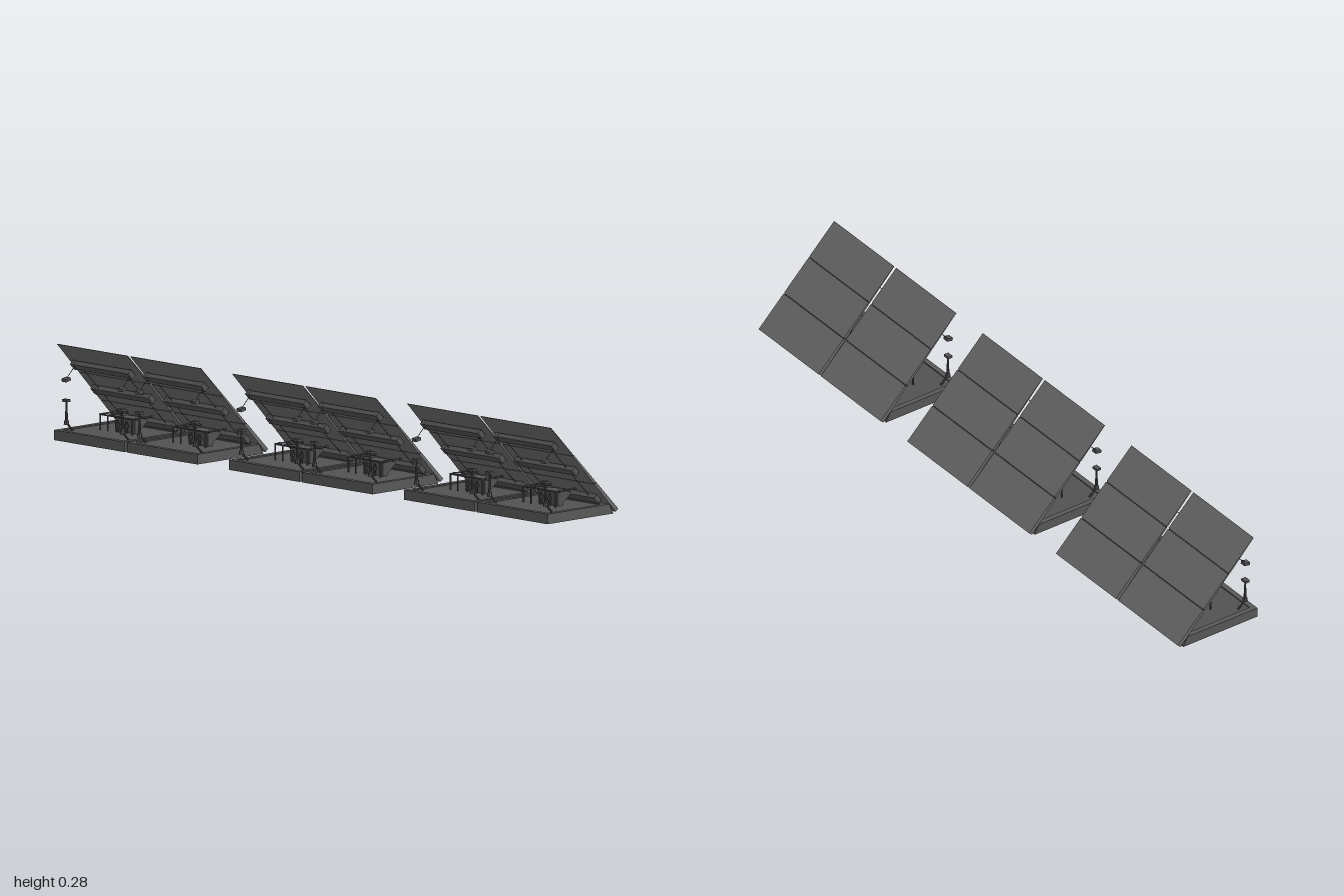
import * as THREE from 'three';

const paint = (color) => new THREE.MeshStandardMaterial({ color, flatShading: true, side: THREE.DoubleSide });
const panelMat = paint(0x6b6b6b);
const trayMat = paint(0x585858);
const frameMat = paint(0x525252);
const seamMat = paint(0x2c2c2c);
const linerMat = paint(0xffffff);
const W = 0.286; // width of one unit

function add(parent, name, geo, mat, x = 0, y = 0, z = 0) {
  const m = new THREE.Mesh(geo, mat);
  m.name = name;
  m.position.set(x, y, z);
  parent.add(m);
  return m;
}

function group(parent, name, x = 0) {
  const g = new THREE.Group();
  g.name = name;
  g.position.x = x;
  parent.add(g);
  return g;
}

// Side profile of [z, y] points, extruded across x
function profile(points, width) {
  const shape = new THREE.Shape(points.map(([z, y]) => new THREE.Vector2(z, y)));
  const geo = new THREE.ExtrudeGeometry(shape, { depth: width, bevelEnabled: false });
  return geo.translate(0, 0, -width / 2).rotateY(-Math.PI / 2);
}

// Round bar between two points
function bar(parent, name, a, b, r0, r1 = r0) {
  const p = new THREE.Vector3(...a), q = new THREE.Vector3(...b);
  const d = q.clone().sub(p);
  const m = add(parent, name, new THREE.CylinderGeometry(r1, r0, d.length(), 8), frameMat);
  m.position.copy(p).add(q).multiplyScalar(0.5);
  m.quaternion.setFromUnitVectors(new THREE.Vector3(0, 1, 0), d.normalize());
}

function tray(parent) {
  const g = group(parent, 'baseTray');
  // Long sides with the sloped rear end
  for (const s of [-1, 1]) {
    add(g, 'sideRail', profile([[0.14, 0], [0.14, 0.029], [-0.105, 0.029], [-0.121, 0]], 0.016), trayMat, s * (W / 2 - 0.008));
  }
  add(g, 'frontRail', new THREE.BoxGeometry(W - 0.032, 0.029, 0.016), trayMat, 0, 0.0145, 0.132);
  add(g, 'rearRail', profile([[-0.09, 0], [-0.09, 0.029], [-0.105, 0.029], [-0.121, 0]], W - 0.032), trayMat);
  // Recessed deck with a pale liner underneath
  add(g, 'deck', new THREE.BoxGeometry(W - 0.03, 0.003, 0.23), frameMat, 0, 0.024, 0.015);
  add(g, 'deckLiner', new THREE.BoxGeometry(W - 0.034, 0.002, 0.222), linerMat, 0, 0.0215, 0.016);
}

function panels(parent) {
  const g = group(parent, 'solarPanels');
  const top = [0.126, 0.275], low = [-0.14, 0.012];
  // Point at fraction t down the slope, and under through the thickness
  const at = (t, under) => {
    const d = under * (0.001 + 0.0088 * t);
    return [top[0] + (low[0] - top[0]) * t + d, top[1] + (low[1] - top[1]) * t - d * 0.8];
  };
  // Three slabs, thickening toward the bottom
  for (let i = 0; i < 3; i++) {
    const a = i / 3 + (i ? 0.005 : 0), b = (i + 1) / 3 - (i < 2 ? 0.005 : 0);
    add(g, 'panel', profile([at(a, 0), at(a, 1), at(b, 1), at(b, 0)], W), panelMat);
  }
  // Dark strips filling the seams
  for (const t of [1 / 3, 2 / 3]) {
    const a = t - 0.006, b = t + 0.006;
    add(g, 'seamStrip', profile([at(a, 0.3), at(a, 0.9), at(b, 0.9), at(b, 0.3)], W - 0.002), seamMat);
  }
}

function support(parent) {
  const g = group(parent, 'supportFrame');
  // Cross beams carrying the panels
  for (const [y, z] of [[0.213, 0.086], [0.133, 0.005], [0.044, -0.083]]) {
    const beam = add(g, 'crossBeam', new THREE.BoxGeometry(0.235, 0.014, 0.024), frameMat, 0, y, z);
    beam.rotation.x = -Math.PI / 4;
    for (const s of [-1, 1]) {
      const clamp = add(g, 'beamClamp', new THREE.BoxGeometry(0.012, 0.016, 0.025), frameMat, s * 0.112, y, z);
      clamp.rotation.x = -Math.PI / 4;
    }
  }
  // Thin rafters and the rear hinges
  for (const s of [-1, 1]) {
    bar(g, 'rafter', [s * 0.09, 0.21, 0.083], [s * 0.09, 0.038, -0.089], 0.001);
    add(g, 'hinge', new THREE.BoxGeometry(0.02, 0.012, 0.016), frameMat, s * 0.1, 0.029, -0.106);
  }
}

function machinery(parent) {
  const g = group(parent, 'driveUnit');
  // Wedge housing
  const wedge = [[0.012, 0.026], [0.012, 0.066], [-0.038, 0.066], [-0.038, 0.056], [-0.006, 0.032], [-0.006, 0.026]];
  add(g, 'housing', profile(wedge, 0.08), frameMat, 0.015);
  // Bent guard rails over the housing
  for (const x of [-0.065, -0.035, 0.065]) {
    bar(g, 'guardPost', [x, 0.026, 0.032], [x, 0.071, 0.032], 0.0025);
    bar(g, 'guardRail', [x, 0.071, 0.034], [x, 0.071, -0.048], 0.0025);
    for (const z of [0.015, -0.02, -0.045]) {
      add(g, 'railClip', new THREE.BoxGeometry(0.008, 0.007, 0.005), frameMat, x, 0.07, z);
    }
  }
  bar(g, 'guardCrossbar', [-0.067, 0.071, 0.032], [0.067, 0.071, 0.032], 0.0025);
  // Valve stack in front of the housing
  for (const x of [-0.005, 0.03]) {
    bar(g, 'valveStem', [x, 0.026, 0.022], [x, 0.06, 0.022], 0.004, 0.003);
    add(g, 'valveCap', new THREE.CylinderGeometry(0.007, 0.007, 0.006, 8), frameMat, x, 0.047, 0.022);
  }
}

// Corner post on the tray, with its catch hung from the top beam
function cornerPost(parent, x) {
  const g = group(parent, 'cornerPost', x);
  bar(g, 'postFoot', [0, 0.026, 0.094], [0, 0.052, 0.12], 0.003);
  add(g, 'postCollar', new THREE.CylinderGeometry(0.006, 0.008, 0.012, 8), frameMat, 0, 0.052, 0.119);
  bar(g, 'post', [0, 0.05, 0.119], [0, 0.115, 0.119], 0.005, 0.002);
  add(g, 'postHead', new THREE.BoxGeometry(0.02, 0.007, 0.015), frameMat, 0, 0.115, 0.12);
  bar(g, 'catchArm', [0, 0.206, 0.09], [0, 0.178, 0.118], 0.001);
  const catcher = add(g, 'catchBlock', new THREE.BoxGeometry(0.018, 0.009, 0.019), frameMat, 0, 0.175, 0.12);
  catcher.rotation.x = 0.2;
}

export function createModel() {
  const model = new THREE.Group();
  model.name = 'solarArray';
  // Three pairs of identical units
  for (const px of [-0.709, 0, 0.709]) {
    const pair = group(model, 'unitPair', px);
    for (const s of [-1, 1]) {
      const unit = group(pair, 'panelUnit', s * 0.148);
      tray(unit);
      panels(unit);
      support(unit);
      machinery(unit);
      for (const side of [-1, 1]) cornerPost(unit, side * 0.113);
    }
  }
  return model;
}
